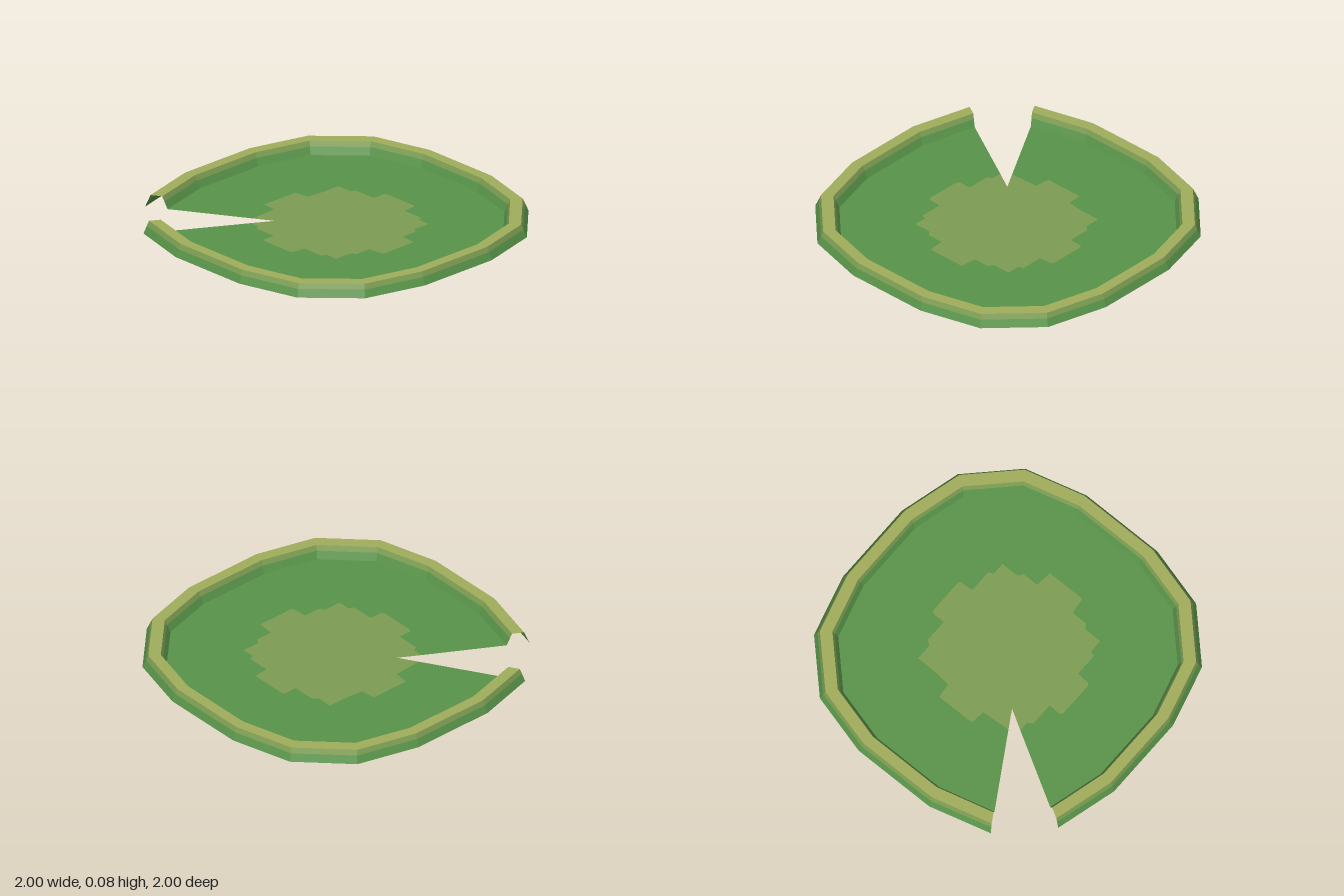
import * as THREE from 'three';

function material(name, color) {
  const m = new THREE.MeshStandardMaterial({ color, side: THREE.DoubleSide, flatShading: true });
  m.name = name;
  return m;
}

// Sixteen rim corners, clockwise from above, running from one notch edge to the other
const CORNERS = [
  [-0.63, -0.9], [-0.26, -1], [0.26, -1], [0.63, -0.9], [0.9, -0.63], [1, -0.26], [1, 0.26], [0.9, 0.63],
  [0.63, 0.9], [0.26, 1], [-0.26, 1], [-0.63, 0.9], [-0.9, 0.63], [-1, 0.26], [-1, -0.26], [-0.9, -0.63],
];
const TIP = [-0.24, -0.25];

// Rim outline at a given scale; its two ends slide along the straight notch edges
function ring(scale) {
  const pts = CORNERS.map(([x, z]) => [x * scale, z * scale]);
  const slide = (end) => end.map((v, i) => TIP[i] + (v - TIP[i]) * (0.9 * scale - 0.25) / 0.65);
  pts[0] = slide(CORNERS[0]);
  pts[15] = slide(CORNERS[15]);
  return pts;
}

// Open band of quads between two outlines, each given as [scale, height]
function band([s0, y0], [s1, y1]) {
  const a = ring(s0), b = ring(s1), pos = [];
  for (let i = 0; i < a.length - 1; i++) {
    const p = [a[i][0], y0, a[i][1]], q = [a[i + 1][0], y0, a[i + 1][1]];
    const r = [b[i + 1][0], y1, b[i + 1][1]], t = [b[i][0], y1, b[i][1]];
    pos.push(...p, ...r, ...q, ...p, ...t, ...r);
  }
  const g = new THREE.BufferGeometry();
  g.setAttribute('position', new THREE.Float32BufferAttribute(pos, 3));
  g.computeVertexNormals();
  return g;
}

// Flat sheet on the ground from an [x, z] outline
function sheet(outline) {
  const shape = new THREE.Shape(outline.map(([x, z]) => new THREE.Vector2(x, -z)));
  return new THREE.ShapeGeometry(shape).rotateX(-Math.PI / 2);
}

export function createModel() {
  const group = new THREE.Group();
  group.name = 'lilyPad';
  const green = material('leafGreen', 0x589349);
  const olive = material('centreOlive', 0x7c9c52);
  const pale = material('rimYellowGreen', 0xa0ac5a);
  const add = (name, geometry, mat) => {
    const mesh = new THREE.Mesh(geometry, mat);
    mesh.name = name;
    group.add(mesh);
  };

  // Stepped outline of the centre patch, right half from back to front
  const half = [
    [0.12, -0.46], [0.13, -0.37], [0.25, -0.36], [0.36, -0.36], [0.36, -0.26], [0.39, -0.24],
    [0.39, -0.1], [0.47, -0.1], [0.48, -0.08], [0.48, 0.13], [0.47, 0.145], [0.39, 0.15],
    [0.39, 0.29], [0.36, 0.3], [0.36, 0.38], [0.25, 0.38], [0.23, 0.41], [0.13, 0.41], [0.12, 0.51],
  ];
  // Mirrored left half, front to back, stopping where the notch cuts off its corner
  const left = half.map(([x, z]) => [-x, z]).reverse();
  const patchEdge = [
    [-0.306, -0.36], ...left.slice(-2), ...half, ...left.slice(0, -4), [-0.36, -0.32],
  ];

  // Floor leaf surrounds the patch; the patch reaches the notch tip
  add('leafFloor', sheet([...ring(0.875), ...patchEdge.slice().reverse()]), green);
  add('centrePatch', sheet([...patchEdge, TIP]), olive);

  // Hollow raised rim: outer wall, top and inner wall
  add('outerWallLower', band([1, 0], [0.982, 0.045]), green);
  add('outerWallUpper', band([0.982, 0.045], [0.97, 0.075]), olive);
  add('rimTop', band([0.97, 0.075], [0.905, 0.075]), pale);
  add('innerWallUpper', band([0.905, 0.075], [0.893, 0.045]), olive);
  add('innerWallLower', band([0.893, 0.045], [0.875, 0]), green);
  return group;
}
